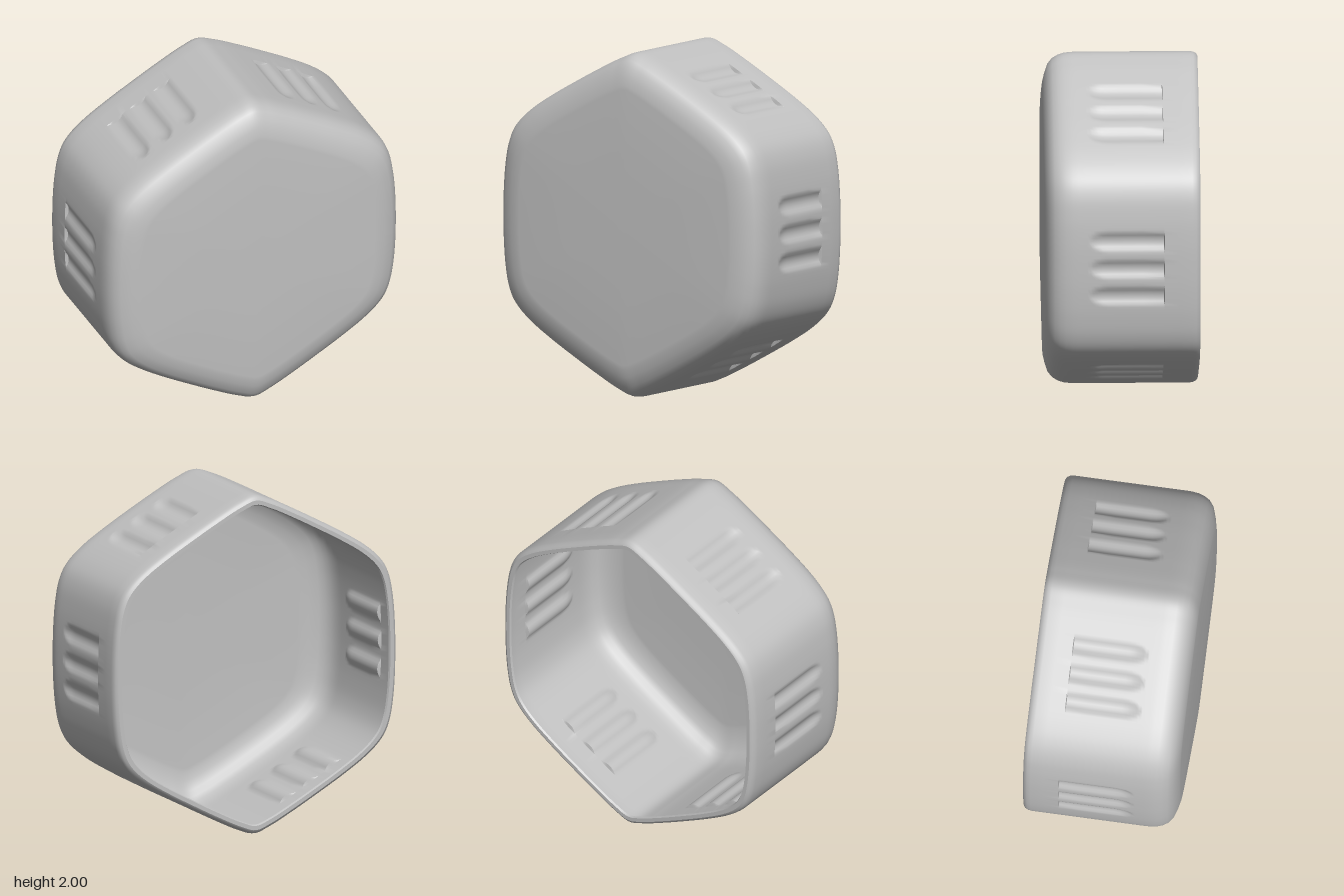
import * as THREE from 'three';
import { toCreasedNormals } from 'three/addons/utils/BufferGeometryUtils.js';

const SEGMENTS = 360;

// Softly bulged hexagon: one quarter, mirrored into a closed outline
function hexOutline() {
  const quarter = [[0.915, 0], [0.912, 0.15], [0.9, 0.3], [0.878, 0.42], [0.845, 0.5], [0.795, 0.562],
    [0.71, 0.632], [0.57, 0.72], [0.4, 0.815], [0.25, 0.895], [0.1, 0.968], [0, 1]];
  const half = [...quarter, ...quarter.slice(0, -1).reverse().map(([x, y]) => [-x, y])];
  const all = [...half, ...half.slice(1, -1).reverse().map(([x, y]) => [x, -y])];
  const curve = new THREE.CatmullRomCurve3(all.map(([x, y]) => new THREE.Vector3(x, y, 0)), true);
  curve.arcLengthDivisions = 1000;
  return curve.getSpacedPoints(SEGMENTS).slice(0, SEGMENTS);
}

// Three shallow grip grooves on each side: square at the back, rounded at the front
function grooveDepth(t, z) {
  if (z < -0.2405 || z > 0.2) return 0;
  const fade = Math.max(0, z - 0.08) / 0.11;
  const near = Math.min(...[-0.165, 0, 0.165].map(c => Math.abs(t - c)));
  return 0.021 * Math.max(0, 1 - (near / 0.054) ** 2 - fade ** 2);
}

// Skin through rings given as [outline scale, z]
function skin(outline, rings) {
  const pos = [], index = [];
  for (const [s, z] of rings) {
    for (const p of outline) {
      const x = p.x * s, y = p.y * s;
      const side = Math.round(Math.atan2(y, x) / (Math.PI / 3)) * Math.PI / 3;
      const nx = Math.cos(side), ny = Math.sin(side);
      const d = grooveDepth(y * nx - x * ny, z);
      pos.push(x - nx * d, y - ny * d + 1, z);
    }
  }
  for (let i = 0; i < rings.length - 1; i++) {
    for (let j = 0; j < SEGMENTS; j++) {
      const k = (j + 1) % SEGMENTS;
      const a = i * SEGMENTS + j, b = i * SEGMENTS + k, c = a + SEGMENTS, d = b + SEGMENTS;
      index.push(c, d, b);
      if (rings[i][0] > 0) index.push(a, c, b);
    }
  }
  const geometry = new THREE.BufferGeometry();
  geometry.setAttribute('position', new THREE.Float32BufferAttribute(pos, 3));
  geometry.setIndex(index);
  return toCreasedNormals(geometry, 0.7);
}

export function createModel() {
  const group = new THREE.Group();
  group.name = 'hexCap';
  const grey = new THREE.MeshStandardMaterial({ color: 0xc0c0c0, side: THREE.DoubleSide });
  grey.name = 'grey';
  const outline = hexOutline();
  const add = (name, rings) => {
    const mesh = new THREE.Mesh(skin(outline, rings), grey);
    mesh.name = name;
    group.add(mesh);
  };

  // Ring heights of the side wall, dense where the grooves round off
  const wallZ = [0.25, 0.2, 0.19, 0.18, 0.165, 0.15, 0.13, 0.11, 0.08, 0, -0.12, -0.24, -0.244, -0.33];

  // Thin pressed sheet: front face, bevel and side wall, seen from both sides
  add('shell', [
    [0, 0.45], [0.4, 0.446], [0.8, 0.441], [0.825, 0.439], [0.87, 0.429], [0.93, 0.41],
    [0.963, 0.384], [0.983, 0.352], [0.994, 0.32], [0.999, 0.28],
    ...wallZ.map(z => [1, z]),
    [1, -0.405], [0.996, -0.426], [0.987, -0.442], [0.973, -0.45],
  ]);

  // Flat lip folded inwards around the open back
  add('lip', [[0.973, -0.45], [0.948, -0.45], [0.942, -0.438]]);
  return group;
}
